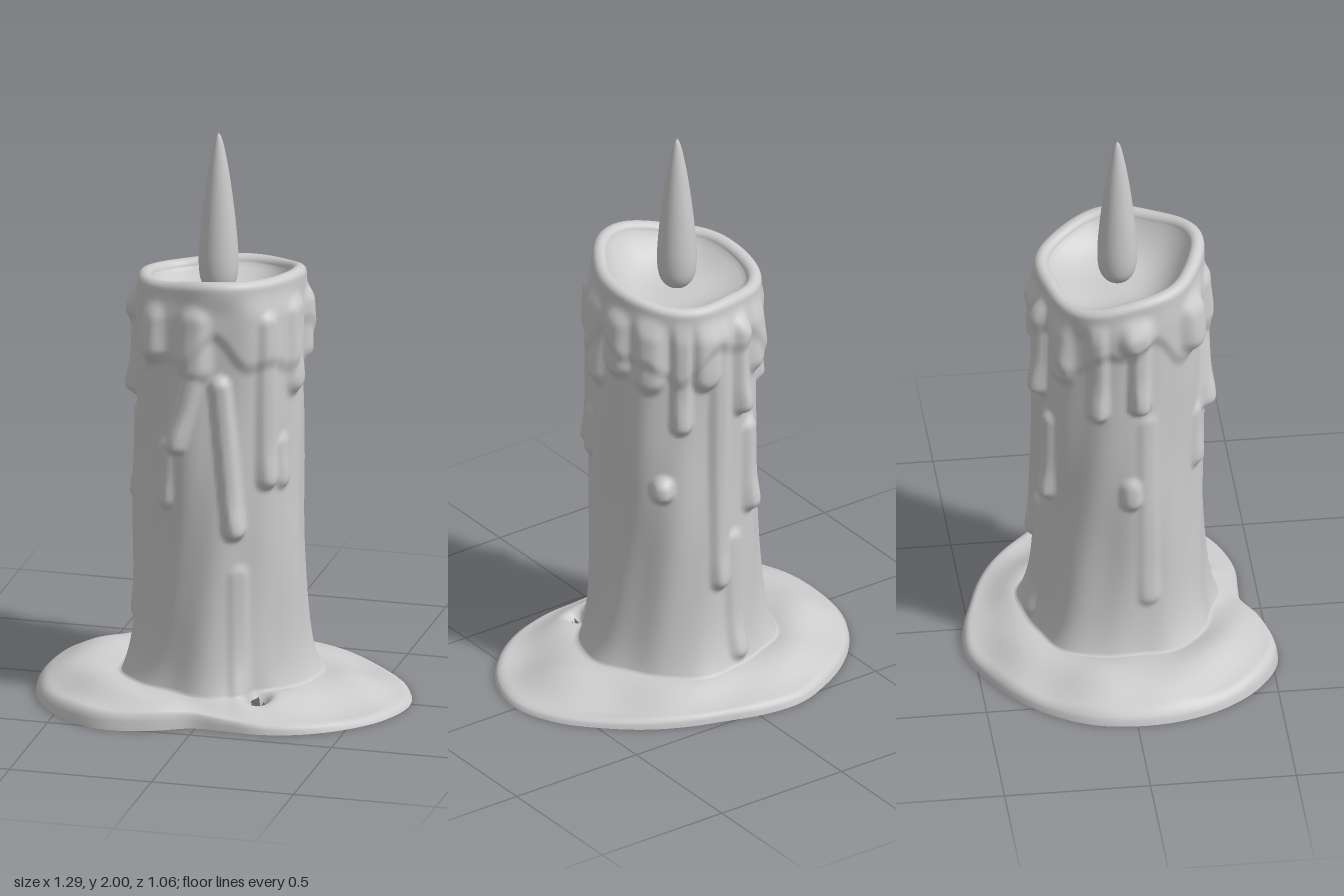
import * as THREE from 'three';

const CX = -0.02, CZ = 0.01, N = 192; // wax axis and points per ring
const RAD = Math.PI / 180, TURN = 2 * Math.PI;
const gauss = (v, w) => Math.exp(-(v * v) / (w * w));
const wrap = (a) => Math.atan2(Math.sin(a), Math.cos(a));
const smooth = THREE.MathUtils.smoothstep;
const lerp = THREE.MathUtils.lerp;

// Puddle radius every 15 degrees, from the front towards +x
const puddleRadius = new THREE.CatmullRomCurve3([
  0.427, 0.44, 0.495, 0.55, 0.6, 0.645, 0.665, 0.635, 0.585, 0.55, 0.525, 0.515,
  0.535, 0.56, 0.565, 0.58, 0.6, 0.62, 0.626, 0.63, 0.63, 0.62, 0.59, 0.505,
].map((r) => new THREE.Vector3(r, 0, 0)), true, 'catmullrom');

// Narrow runs of wax: angle from the front, top, end, thickness, lean in degrees
const runs = [
  [-2, 1.27, 0.97, 0.045, -15], [14, 1.18, 0.67, 0.045, 10], [-27, 0.94, 0.76, 0.022],
  [27, 0.5, 0.1, 0.016], [48, 1.4, 0.84, 0.03], [62, 0.95, 0.83, 0.02],
  [137, 0.8, 0.78, 0.04], [150, 1.42, 1.04, 0.035], [178, 1.4, 0.42, 0.03],
  [-170, 0.55, 0.14, 0.026], [-163, 1.38, 1.07, 0.045], [-153, 0.95, 0.67, 0.036],
  [-111, 1.4, 1.06, 0.036], [-82, 1.41, 1.09, 0.045], [-88, 0.75, 0.7, 0.022], [-76, 1, 0.3, 0.014],
];
// Broad lobes hanging from the rim: angle, end
const lobes = [[-38, 1.3], [-4, 1.25], [77, 1.17], [102, 1.25], [128, 1.22], [168, 1.22], [-140, 1.2], [-84, 1.36]];
const drips = [
  ...runs.map(([deg, top, end, thick, lean = 0]) => ({ deg, top, end, thick, lean, w: 0.034 })),
  ...lobes.map(([deg, end]) => ({ deg, top: 1.41, end, thick: 0.034, lean: 0, w: 0.053 })),
];

function dripBulge(angle, y) {
  let bulge = 0;
  for (const { deg, top, end, thick, lean, w } of drips) {
    const f = THREE.MathUtils.clamp((top - y) / (top - end), 0, 1);
    const across = wrap(angle - (deg + lean * f) * RAD) * 0.3;
    const beyond = Math.max(0, end - y, y - top);
    const d2 = (across * across + beyond * beyond) / (w * w);
    bulge = Math.max(bulge, thick * Math.exp(-d2 * d2) * (0.6 + 0.4 * gauss(y - end, 2.2 * w)));
  }
  return bulge;
}

const rimHeight = (a) => 1.513 + 0.042 * Math.cos(a - 30 * RAD) + 0.006 * Math.sin(4 * a + 1);
const rimRadius = (a) => 0.288 + 0.008 * Math.sin(3 * a + 1) + 0.006 * Math.sin(5 * a);
const notch = (a) => gauss(wrap(a - 36 * RAD), 0.2); // foot is undercut beside the puddle hole

// Shaft: straight column, flared foot, thin upper coat and drips, easing into the rim
function shaftRadius(a, y) {
  const flare = (0.1 + 0.02 * Math.sin(5 * a)) * (1 - 0.85 * notch(a)) * Math.exp(-y / 0.11);
  const coatEdge = 1.28 + 0.05 * Math.sin(4 * a + 1) + 0.03 * Math.sin(9 * a);
  const coat = 0.014 * smooth(y, coatEdge - 0.03, coatEdge + 0.03);
  const ripple = 0.004 * Math.sin(5 * a + 3 * y) + 0.003 * Math.sin(11 * a - 5 * y + 2) + 0.002 * Math.sin(9 * y + 3 * a);
  const body = 0.291 - 0.008 * y + flare + ripple + coat + dripBulge(a, y);
  return lerp(body, rimRadius(a), smooth(y, rimHeight(a) - 0.13, rimHeight(a) - 0.03));
}

const FOOT = 0.085, PUDDLE_ROWS = 24, BODY_ROWS = 130, LIP_ROWS = 10, BOWL_ROWS = 16;
const rings = Array.from({ length: N }, (_, i) => {
  const a = (i / N) * TURN;
  return { a, edge: puddleRadius.getPoint(i / N).x, foot: shaftRadius(a, FOOT) };
});
const inHole = (r, a) => Math.hypot((CX + r * Math.sin(a) - 0.18) / 0.02, (CZ + r * Math.cos(a) - 0.285) / 0.034) < 1;

// Joins rings of points, point(row, ring) -> [radius, y]; quads inside the puddle hole are left out
function ringSurface(rows, point, holeRows) {
  const pos = [], index = [], radii = [];
  for (let j = 0; j <= rows; j++) for (const ring of rings) {
    const [r, y] = point(j, ring);
    radii.push(r);
    pos.push(CX + r * Math.sin(ring.a), y, CZ + r * Math.cos(ring.a));
  }
  for (let j = 0; j < rows; j++) for (let i = 0; i < N; i++) {
    const p = j * N + i, q = j * N + ((i + 1) % N), s = p + N, t = q + N;
    if (holeRows(j) && inHole((radii[p] + radii[s]) / 2, rings[i].a + Math.PI / N)) continue;
    index.push(p, q, t, p, t, s);
  }
  const g = new THREE.BufferGeometry();
  g.setAttribute('position', new THREE.Float32BufferAttribute(pos, 3));
  g.setIndex(index);
  g.computeVertexNormals();
  return g;
}

// Puddle rows run from the rounded outer bead to the foot of the shaft
function puddlePoint(j, { a, edge, foot }) {
  const t = Math.pow(j / PUDDLE_ROWS, 1.3), r = lerp(edge, foot, t);
  const bead = 0.035 + 0.03 * gauss(wrap(a + 25 * RAD), 0.6) - 0.012 * gauss(wrap(a - 90 * RAD), 0.7);
  const round = Math.sqrt(1 - (1 - Math.min(t / 0.13, 1)) ** 2);
  const x = r * Math.sin(a), z = r * Math.cos(a);
  const lumps = 0.012 * Math.sin(13 * x + 2) * Math.cos(11 * z) + 0.008 * Math.sin(17 * z - 9 * x)
    + 0.035 * gauss(wrap(a + 90 * RAD), 0.9);
  const dip = gauss(Math.hypot(CX + x - 0.18, CZ + z - 0.285), 0.035) * (1 - smooth(t, 0.9, 1));
  const y = bead * round + (FOOT - bead) * smooth(t, 0, 1) + lumps * Math.sin(Math.PI * t) * round;
  return [r, Math.max(y * (1 - dip), 0)];
}

// Melted wax in one skin: puddle, shaft, rounded lip, hollow
function waxPoint(row, ring) {
  if (row <= PUDDLE_ROWS) return puddlePoint(row, ring);
  const { a } = ring, top = rimHeight(a), lip = 0.026;
  let j = row - PUDDLE_ROWS;
  if (j <= BODY_ROWS) {
    const y = lerp(FOOT, top - lip, j / BODY_ROWS);
    return [shaftRadius(a, y), y];
  }
  j -= BODY_ROWS;
  if (j <= LIP_ROWS) {
    const f = (j / LIP_ROWS) * Math.PI;
    return [rimRadius(a) - lip + lip * Math.cos(f), top - lip + lip * Math.sin(f)];
  }
  const s = 1 - (j - LIP_ROWS) / BOWL_ROWS;
  return [(rimRadius(a) - 2 * lip) * s, lerp(1.4, top - lip, s ** 3.2)];
}

// Flat underside, following the same rings as the puddle
function undersidePoint(j, ring) {
  return [j === 0 ? 0 : puddlePoint(PUDDLE_ROWS + 1 - j, ring)[0], 0];
}

export function createModel() {
  const group = new THREE.Group();
  const material = new THREE.MeshStandardMaterial({ color: 0xcccccc });
  const add = (name, geometry) => {
    const mesh = new THREE.Mesh(geometry, material);
    mesh.name = name;
    group.add(mesh);
    return mesh;
  };

  const waxRows = PUDDLE_ROWS + BODY_ROWS + LIP_ROWS + BOWL_ROWS;
  add('meltedWax', ringSurface(waxRows, waxPoint, (j) => j < PUDDLE_ROWS));
  add('underside', ringSurface(PUDDLE_ROWS + 1, undersidePoint, (j) => j > 0));

  // Flame: slender pointed teardrop
  const flameProfile = new THREE.SplineCurve([
    [0, 1.425], [0.035, 1.435], [0.06, 1.47], [0.068, 1.53], [0.064, 1.62], [0.052, 1.74],
    [0.034, 1.87], [0.014, 1.97], [0, 2],
  ].map(([x, y]) => new THREE.Vector2(x, y))).getPoints(40).map((p) => p.setX(Math.max(p.x, 0)));
  add('flame', new THREE.LatheGeometry(flameProfile, 32)).position.set(-0.03, 0, 0.005);

  return group;
}
